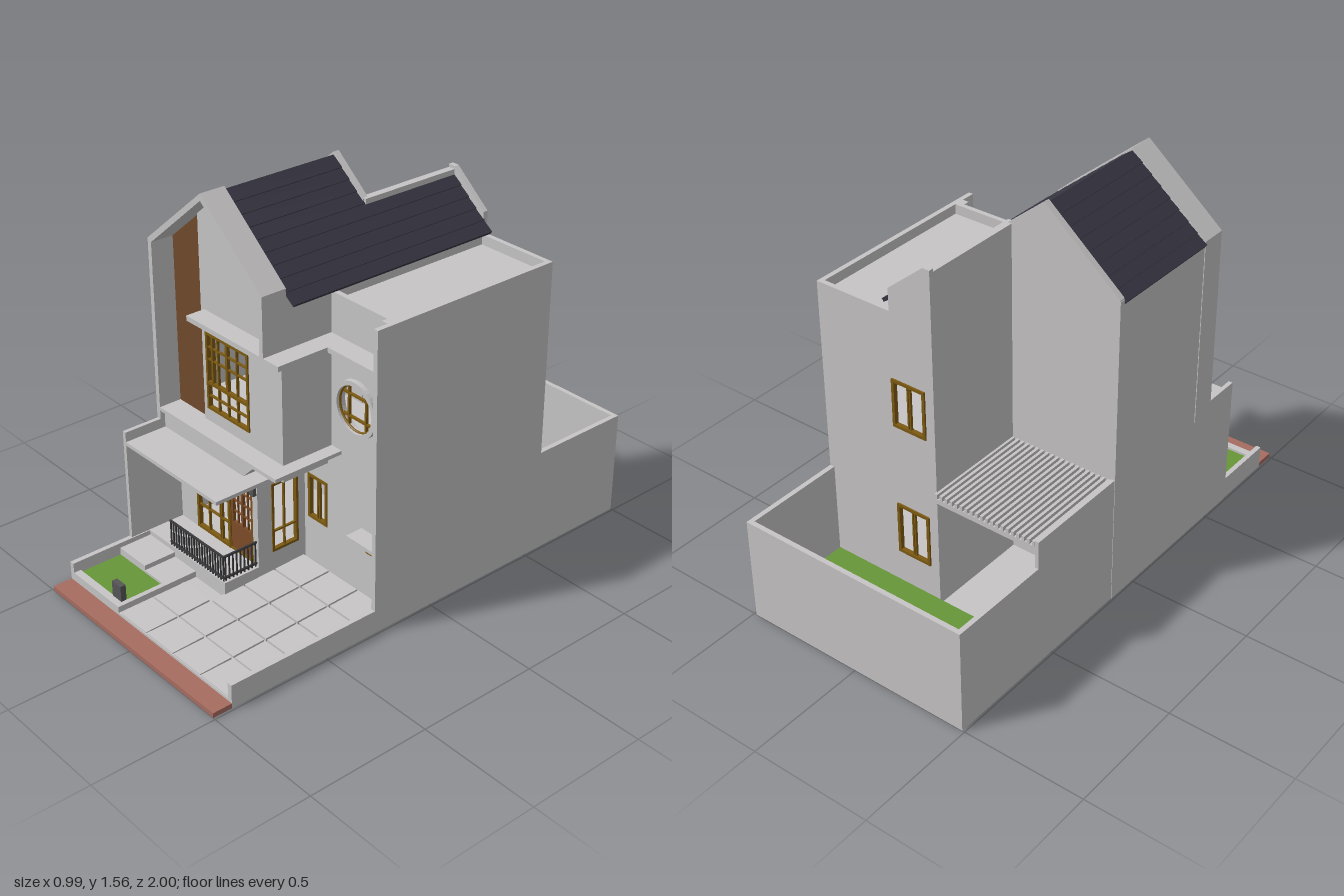
import * as THREE from 'three';

const mat = (name, color, side = THREE.FrontSide) => {
  const m = new THREE.MeshStandardMaterial({ color, side });
  m.name = name;
  return m;
};

export function createModel() {
  const house = new THREE.Group();
  house.name = 'townhouse';
  const plaster = mat('plaster', 0xc6c4c4);
  const tile = mat('roofTile', 0x363541);
  const timber = mat('timberCladding', 0x6f4b2b);
  const doorWood = mat('doorWood', 0x7d4c26);
  const brass = mat('windowFrame', 0x7d5a12);
  const iron = mat('iron', 0x3a3a3c);
  const grass = mat('grass', 0x679638);
  const brick = mat('brickPaving', 0xa66c60);
  const stone = mat('darkStone', 0x555557);

  const add = (parent, name, geo, m) => {
    const mesh = new THREE.Mesh(geo, m);
    mesh.name = name;
    parent.add(mesh);
    return mesh;
  };
  // Box given by its limits on each axis
  const box = (name, m, x0, x1, y0, y1, z0, z1, parent = house) => {
    const mesh = add(parent, name, new THREE.BoxGeometry(x1 - x0, y1 - y0, z1 - z0), m);
    mesh.position.set((x0 + x1) / 2, (y0 + y1) / 2, (z0 + z1) / 2);
    return mesh;
  };
  const rect = (x0, x1, y0, y1) => [[x0, y0], [x1, y0], [x1, y1], [x0, y1]];
  const v2 = (pts) => pts.map(([x, y]) => new THREE.Vector2(x, y));
  // Upright wall panel with openings, from z0 to z1
  const panel = (name, m, pts, holes, z0, z1, parent = house) => {
    const shape = new THREE.Shape(v2(pts));
    holes.forEach((h) => shape.holes.push(h instanceof THREE.Path ? h : new THREE.Path(v2(h))));
    const geo = new THREE.ExtrudeGeometry(shape, { depth: z1 - z0, bevelEnabled: false, curveSegments: 20 });
    const mesh = add(parent, name, geo, m);
    mesh.position.z = z0;
    return mesh;
  };
  // Window: outer frame plus vertical bars (cols) and horizontal bars (rows)
  const lattice = (name, m, [x0, x1, y0, y1], z, cols, rows, w = 0.012, parent = house, bar = 0.006) => {
    const g = new THREE.Group();
    g.name = name;
    parent.add(g);
    panel('frame', m, rect(x0, x1, y0, y1), [rect(x0 + w, x1 - w, y0 + w, y1 - w)], z - 0.012, z + 0.006, g);
    cols.forEach((c) => box('mullion', m, c - bar / 2, c + bar / 2, y0 + w, y1 - w, z - 0.008, z + 0.002, g));
    rows.forEach((r) => box('glazingBar', m, x0 + w, x1 - w, r - bar / 2, r + bar / 2, z - 0.008, z + 0.002, g));
    return g;
  };

  // Ground, pavement and garden
  box('base', plaster, -0.49, 0.49, 0, 0.03, -1, 0.92);
  box('brickStrip', brick, -0.49, 0.49, 0, 0.02, 0.92, 1);
  box('houseFloor', plaster, -0.475, 0, 0, 0.09, -0.13, 0.39);
  box('rearFloor', plaster, 0, 0.47, 0, 0.09, -0.55, 0.165);
  box('terrace', plaster, -0.475, 0, 0, 0.095, 0.39, 0.57);
  box('step', plaster, -0.475, -0.31, 0, 0.075, 0.57, 0.71);
  box('lowStep', plaster, -0.31, -0.18, 0, 0.055, 0.57, 0.71);
  box('gardenEdge', plaster, -0.475, -0.18, 0, 0.055, 0.89, 0.92);
  box('gardenEdge', plaster, -0.2, -0.18, 0, 0.055, 0.65, 0.89);
  box('frontLawn', grass, -0.475, -0.2, 0.03, 0.045, 0.71, 0.89);
  box('letterBox', stone, -0.255, -0.2, 0.045, 0.12, 0.87, 0.893);
  for (const x of [-0.49, 0.47]) box('lowBoundaryWall', plaster, x, x + 0.02, 0, 0.095, 0.27, 0.92);
  for (let c = 0; c < 4; c++) {
    for (let r = 0; r < 5; r++) {
      const x = -0.17 + c * 0.16, z = 0.19 + r * 0.146;
      if (c === 0 && z < 0.57) continue;
      box('pavingSlab', plaster, x + 0.004, x + 0.156, 0.02, 0.056 - r * 0.005, z + 0.004, z + 0.142).rotation.x = 0.034;
    }
  }

  // Back yard
  box('backLawn', grass, -0.475, 0.47, 0.03, 0.05, -0.98, -0.565);
  box('yardBackWall', plaster, -0.49, 0.49, 0, 0.43, -1, -0.98);
  for (const x of [-0.49, 0.47]) box('yardSideWall', plaster, x, x + 0.02, 0, 0.43, -0.98, -0.565);
  box('courtWall', plaster, -0.49, -0.475, 0, 0.545, -0.575, -0.13);
  for (const z of [-0.575, -0.15]) box('pergolaBeam', plaster, -0.475, -0.03, 0.5, 0.52, z, z + 0.02);
  for (let i = 0; i < 20; i++) {
    const x = -0.473 + i * 0.0228;
    box('pergolaSlat', plaster, x, x + 0.012, 0.518, 0.54, -0.575, -0.13);
  }

  // Main walls
  box('leftSideWall', plaster, 0.47, 0.49, 0, 1.22, -0.565, 0.27);
  box('rightSideWall', plaster, -0.492, -0.475, 0, 1.285, -0.13, 0.49);
  box('porchSideWall', plaster, -0.492, -0.475, 0, 0.555, 0.49, 0.65);
  box('courtInnerWall', plaster, -0.03, 0, 0, 1.43, -0.565, -0.11);
  const backDoor = [-0.16, -0.04, 0.09, 0.41];
  panel('backGable', plaster, [[-0.49, 0], [-0.01, 0], [-0.01, 1.427], [-0.17, 1.56], [-0.49, 1.29]],
    [rect(...backDoor)], -0.13, -0.105);
  lattice('backDoor', brass, backDoor, -0.125, [-0.1], []);
  const backWindows = [[0.008, 0.158, 0.19, 0.41], [0.008, 0.158, 0.75, 0.95]];
  panel('backWall', plaster, [[-0.03, 0], [0.49, 0], [0.49, 1.22], [0.158, 1.22], [0.158, 1.31], [0, 1.442], [-0.03, 1.442]],
    backWindows.map((w) => rect(...w)), -0.565, -0.545);
  backWindows.forEach((w) => lattice('backWindow', brass, w, -0.56, [0.078, 0.088], []));
  box('upperPartition', plaster, 0.135, 0.155, 1.04, 1.275, -0.55, 0.41);
  box('flatRoof', plaster, 0.14, 0.475, 1.165, 1.18, -0.55, 0.18);
  box('upperFloor', plaster, -0.475, 0.135, 0.52, 0.6, -0.11, 0.395);
  box('rearUpperFloor', plaster, 0, 0.47, 0.52, 0.6, -0.55, 0.17);
  box('ceiling', plaster, -0.475, 0.14, 1.04, 1.06, -0.11, 0.385);

  // Recessed side facade with a round window
  const round = new THREE.Path();
  round.absarc(0.297, 0.815, 0.092, 0, Math.PI * 2, true);
  const tall = [0.022, 0.13, 0.24, 0.43], small = [0.345, 0.437, 0.238, 0.293];
  panel('sideFacade', plaster, rect(-0.02, 0.47, 0, 1.22), [rect(...tall), rect(...small), round], 0.165, 0.185);
  lattice('tallWindow', brass, tall, 0.183, [0.073, 0.083], []);
  lattice('smallWindow', brass, small, 0.183, [], [], 0.006);
  box('smallCanopy', plaster, 0.32, 0.47, 0.315, 0.33, 0.185, 0.26);
  box('facadePier', plaster, 0.442, 0.47, 0, 1.22, 0.185, 0.21);
  const ring = new THREE.Shape();
  ring.absarc(0.297, 0.815, 0.11, 0, Math.PI * 2, false);
  ring.holes.push(round);
  const surround = new THREE.ExtrudeGeometry(ring, { depth: 0.022, bevelEnabled: false, curveSegments: 20 });
  add(house, 'roundSurround', surround, plaster).position.z = 0.183;
  add(house, 'roundFrame', new THREE.TorusGeometry(0.091, 0.005, 8, 40), brass).position.set(0.297, 0.815, 0.19);
  for (const d of [-0.045, 0.045]) {
    box('roundBar', brass, 0.297 + d - 0.004, 0.297 + d + 0.004, 0.737, 0.893, 0.18, 0.19);
    box('roundBar', brass, 0.219, 0.375, 0.811 + d, 0.819 + d, 0.18, 0.19);
  }

  // Ground floor front with glazed screen and door
  panel('porchWall', plaster, rect(-0.475, 0, 0, 0.6), [rect(-0.375, -0.03, 0.095, 0.43)], 0.39, 0.41);
  lattice('porchWindow', brass, [-0.375, -0.17, 0.095, 0.43], 0.405, [-0.305, -0.235, -0.225], [0.2, 0.29, 0.37]);
  lattice('doorFrame', brass, [-0.175, -0.028, 0.095, 0.43], 0.403, [], [], 0.008);
  panel('frontDoor', doorWood, rect(-0.168, -0.035, 0.095, 0.423), [rect(-0.155, -0.107, 0.22, 0.41), rect(-0.096, -0.048, 0.22, 0.41)], 0.392, 0.405);
  for (const x of [-0.131, -0.072]) {
    box('doorBar', doorWood, x - 0.002, x + 0.002, 0.22, 0.41, 0.394, 0.402);
    for (const y of [0.267, 0.315, 0.362]) box('doorBar', doorWood, x - 0.024, x + 0.024, y - 0.002, y + 0.002, 0.394, 0.402);
  }
  const side = new THREE.Group();
  side.name = 'porchSide';
  side.rotation.y = Math.PI / 2;
  house.add(side);
  const sideWin = [-0.345, -0.22, 0.135, 0.43];
  panel('porchReturnWall', plaster, rect(-0.41, -0.18, 0, 0.6), [rect(...sideWin)], -0.02, 0, side);
  lattice('porchSideWindow', brass, sideWin, -0.002, [-0.283], [0.22], 0.01, side);
  box('wallLamp', stone, -0.028, -0.005, 0.405, 0.475, 0.41, 0.425);

  // Railing round the terrace
  for (const y of [0.105, 0.197]) {
    box('frontRail', iron, -0.34, -0.008, y, y + 0.007, 0.56, 0.568);
    box('sideRail', iron, -0.016, -0.008, y, y + 0.007, 0.41, 0.568);
  }
  for (let i = 0; i <= 20; i++) {
    const x = -0.338 + i * 0.0161;
    box('frontBaluster', iron, x, x + 0.005, 0.095, 0.2, 0.562, 0.567);
  }
  for (let i = 0; i < 9; i++) {
    const z = 0.413 + i * 0.0175;
    box('sideBaluster', iron, -0.015, -0.01, 0.095, 0.2, z, z + 0.005);
  }

  // Canopy, balcony slab and cornices
  box('canopy', plaster, -0.475, 0.075, 0.5, 0.515, 0.39, 0.65);
  panel('canopyFascia', plaster, [[-0.475, 0.515], [0, 0.515], [0.075, 0.59], [-0.475, 0.59]], [], 0.4, 0.47);
  box('porchReturnCanopy', plaster, 0, 0.075, 0.5, 0.515, 0.185, 0.39);
  box('balconySlab', plaster, -0.475, 0.21, 0.59, 0.605, 0.18, 0.49);
  box('frontCornice', plaster, -0.28, 0.235, 1.04, 1.06, 0.185, 0.49);
  box('sideCornice', plaster, 0.235, 0.49, 1.04, 1.06, 0.185, 0.27);

  // Upper bay with its large window
  const bay = [-0.275, -0.03, 0.66, 0.975];
  panel('bayFront', plaster, rect(-0.3, 0.155, 0.605, 1.04), [rect(...bay)], 0.39, 0.41);
  box('baySide', plaster, 0.135, 0.155, 0.605, 1.04, 0.18, 0.39);
  lattice('bayWindow', brass, bay, 0.41, [-0.21, -0.155, -0.1], [0.715, 0.865, 0.915], 0.01);
  box('bayTransom', brass, -0.275, -0.03, 0.764, 0.776, 0.4, 0.416);
  box('baySash', brass, -0.245, -0.235, 0.77, 0.97, 0.4, 0.414);
  box('baySash', brass, -0.162, -0.15, 0.77, 0.97, 0.4, 0.414);

  // Front gable: projecting frame, recessed panel and timber cladding
  panel('gableFrame', plaster, [[-0.495, 0.515], [-0.475, 0.515], [-0.475, 1.278], [-0.17, 1.533], [0.135, 1.278],
    [0.135, 1.06], [0.155, 1.06], [0.155, 1.29], [-0.17, 1.56], [-0.495, 1.29]], [], 0.385, 0.49);
  panel('gablePanel', plaster, [[-0.3, 1.04], [0.14, 1.04], [0.14, 1.275], [-0.17, 1.535], [-0.3, 1.426]], [], 0.385, 0.41);
  panel('timberCladding', timber, [[-0.475, 0.605], [-0.3, 0.605], [-0.3, 1.426], [-0.475, 1.28]], [], 0.385, 0.395);

  // Tiled roof: overlapping courses down each slope
  const slope = Math.atan(0.83), stepX = 0.0406;
  for (const s of [-1, 1]) {
    for (let i = 0; i < (s > 0 ? 9 : 8); i++) {
      const z0 = s > 0 && i >= 4 ? -0.548 : -0.107, z1 = 0.386;
      const d = (i + 0.5) * stepX;
      const course = add(house, 'roofCourse', new THREE.BoxGeometry(stepX / Math.cos(slope) + 0.004, 0.014, z1 - z0), tile);
      course.position.set(-0.17 + s * d, 1.543 - 0.83 * d, (z0 + z1) / 2);
      course.rotation.z = -s * (slope - 0.08);
    }
  }
  return house;
}
